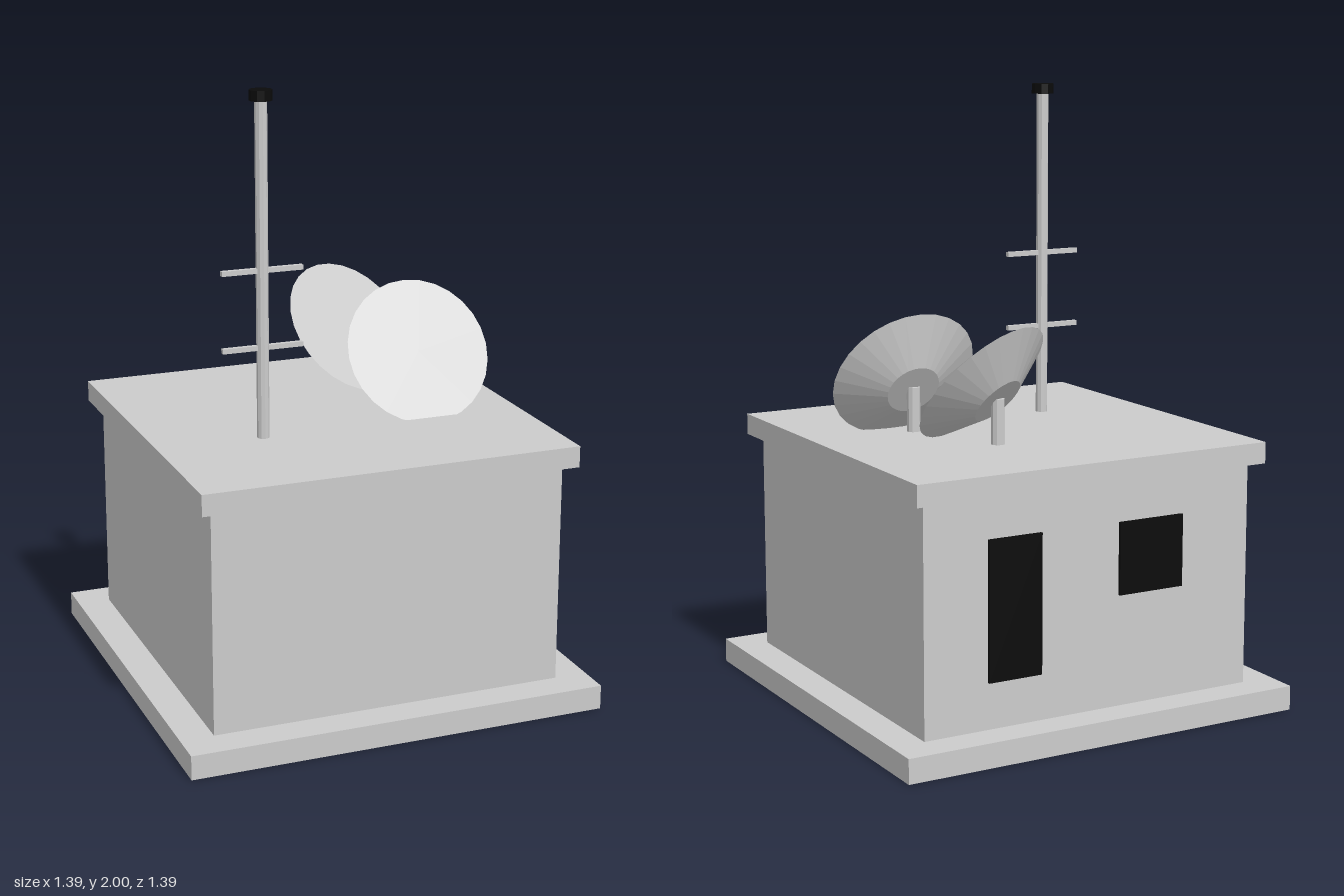
import * as THREE from 'three';

export function createModel() {
  const model = new THREE.Group();
  model.name = 'relayStation';
  const grey = new THREE.MeshStandardMaterial({ color: 0xcccccc, flatShading: true });
  const black = new THREE.MeshStandardMaterial({ color: 0x0a0a0a, flatShading: true });

  const add = (name, geometry, x, y, z, material = grey, parent = model) => {
    const mesh = new THREE.Mesh(geometry, material);
    mesh.name = name;
    mesh.position.set(x, y, z);
    parent.add(mesh);
    return mesh;
  };
  // Square slab of a given width between two heights
  const slab = (name, width, y0, y1) =>
    add(name, new THREE.BoxGeometry(width, y1 - y0, width), 0, (y0 + y1) / 2, 0);
  // Upright cylinder between two heights
  const post = (name, r, y0, y1, x, z, sides, material, parent) =>
    add(name, new THREE.CylinderGeometry(r, r, y1 - y0, sides), x, (y0 + y1) / 2, z, material, parent);

  // Building
  slab('foundation', 1.395, 0, 0.08);
  slab('walls', 1.176, 0.08, 0.815);
  slab('roof', 1.256, 0.815, 0.885);

  // Door and window on the back wall
  add('door', new THREE.BoxGeometry(0.186, 0.45, 0.015), 0.275, 0.455, -0.59, black);
  add('window', new THREE.BoxGeometry(0.234, 0.235, 0.015), -0.217, 0.56, -0.59, black);

  // Antenna mast with two crossbars
  const mast = new THREE.Group();
  mast.name = 'mast';
  model.add(mast);
  post('mastPole', 0.02, 0.885, 1.97, -0.272, 0.178, 10, grey, mast);
  post('mastCap', 0.037, 1.967, 2, -0.272, 0.178, 10, black, mast);
  for (const y of [1.183, 1.433])
    add('crossbar', new THREE.BoxGeometry(0.27, 0.016, 0.016), -0.272, y, 0.178, grey, mast);

  // Dishes: shallow solid cones tilted skyward, each on a short post
  const depth = 0.08;
  const dishGeometry = new THREE.CylinderGeometry(0.247, 0.09, depth, 28)
    .rotateX(Math.PI / 2)
    .translate(0, 0, depth / 2);
  const dishes = [
    { x: 0.315, y: 1.04, z: -0.003, pitch: 0.54, yaw: 0 },
    { x: 0.18, y: 1.042, z: -0.316, pitch: 0.7, yaw: 0.43 },
  ];
  for (const { x, y, z, pitch, yaw } of dishes) {
    const group = new THREE.Group();
    group.name = 'satelliteDish';
    model.add(group);
    const dish = add('dish', dishGeometry, x, y, z, grey, group);
    dish.rotation.set(-pitch, yaw, 0, 'YXZ');
    post('dishPost', 0.022, 0.905, 1.05, x, z, 10, grey, group);
  }
  return model;
}
